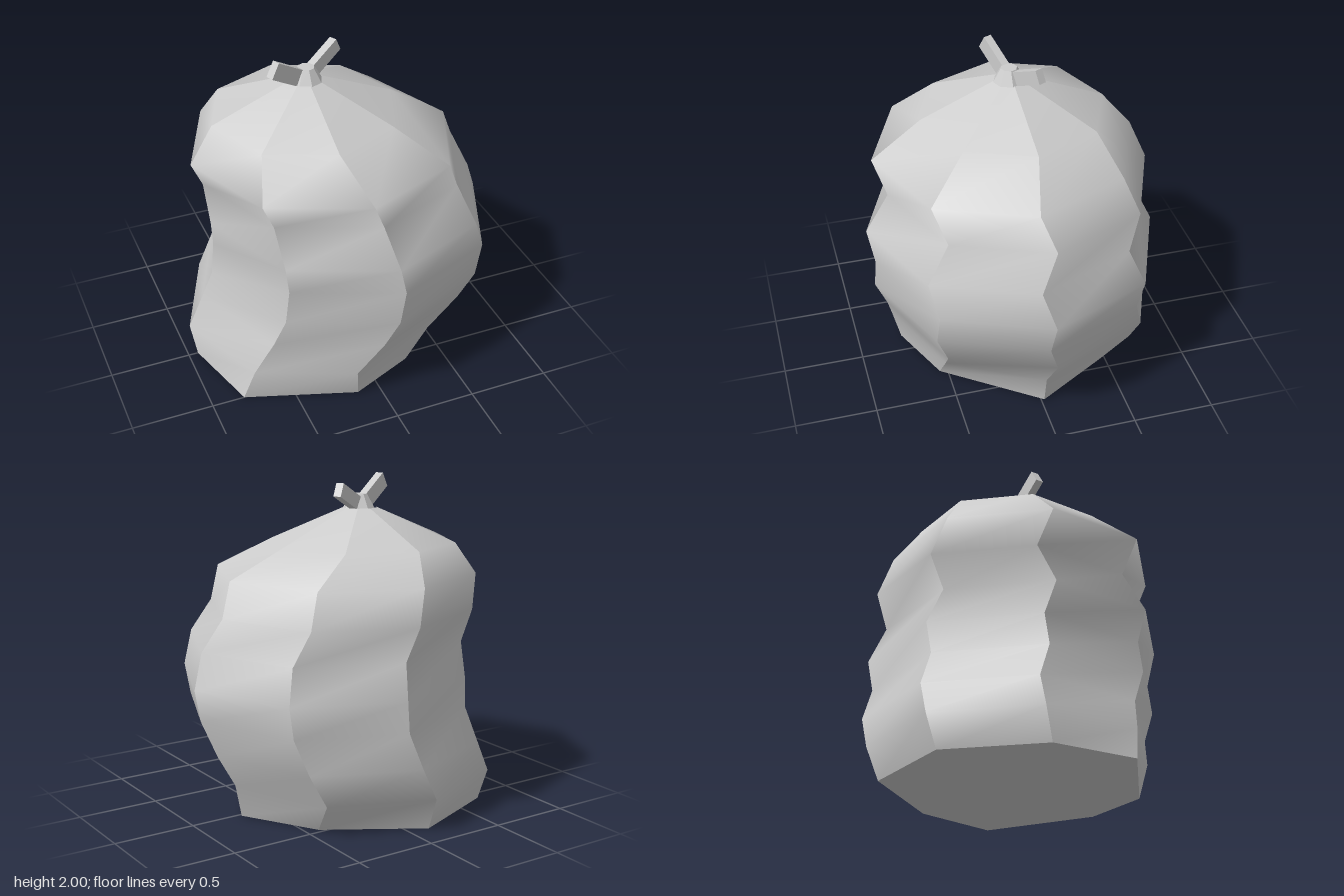
import * as THREE from 'three';

const SIDES = 8;

// Octagonal rings from bottom to top: y, centre x, centre z, radius
const RINGS = [
  [0, -0.13, 0, 0.81],
  [0.2, -0.125, -0.04, 0.845],
  [0.41, -0.01, -0.047, 0.86],
  [0.62, 0.05, 0.02, 0.87],
  [0.82, 0.087, 0, 0.88],
  [1.02, 0.032, 0.065, 0.85],
  [1.23, -0.01, -0.045, 0.81],
  [1.43, -0.1, 0.03, 0.805],
  [1.61, -0.18, -0.05, 0.565],
  [1.81, -0.175, -0.035, 0.1],
];

// Corners pushed out of the regular octagon near the ground: ring -> corner -> x, z
const DENTS = {
  0: { 0: [0.68, -0.02], 1: [0.26, 0.55], 2: [-0.14, 0.72], 3: [-0.8, 0.5], 7: [0.42, -0.47] },
  1: { 0: [0.72, -0.02], 1: [0.41, 0.54], 2: [-0.165, 0.77], 3: [-0.735, 0.53] },
};

function corner(ring, k) {
  k %= SIDES;
  const [y, cx, cz, r] = RINGS[ring];
  const a = (k / SIDES) * Math.PI * 2;
  const [x, z] = DENTS[ring]?.[k] ?? [cx + r * Math.cos(a), cz + r * Math.sin(a)];
  return [x, y, z];
}

function surface(points, index) {
  const g = new THREE.BufferGeometry();
  g.setAttribute('position', new THREE.Float32BufferAttribute(points.flat(), 3));
  g.setIndex(index);
  g.computeVertexNormals();
  return g;
}

// One upright panel, smooth along its height and sharp at its two sides
function panelGeometry(k) {
  const points = [];
  const index = [];
  for (let i = 0; i < RINGS.length; i++) {
    points.push(corner(i, k), corner(i, k + 1));
    if (i > 0) {
      const b = (i - 1) * 2;
      index.push(b, b + 2, b + 1, b + 1, b + 2, b + 3);
    }
  }
  return surface(points, index);
}

export function createModel() {
  const group = new THREE.Group();
  const material = new THREE.MeshStandardMaterial({ color: 0xcccccc });
  const flat = new THREE.MeshStandardMaterial({ color: 0xcccccc, flatShading: true });

  const add = (name, geometry, mat, parent = group) => {
    const mesh = new THREE.Mesh(geometry, mat);
    mesh.name = name;
    parent.add(mesh);
    return mesh;
  };

  // Sack body
  const body = new THREE.Group();
  body.name = 'sackBody';
  group.add(body);
  for (let k = 0; k < SIDES; k++) add('sackPanel', panelGeometry(k), material, body);

  // Flat underside
  const base = [];
  const fan = [];
  for (let k = 0; k < SIDES; k++) {
    base.push(corner(0, k));
    if (k > 1) fan.push(0, k - 1, k);
  }
  add('sackBase', surface(base, fan), flat, body);

  // Gathered neck
  const neck = add('neck', new THREE.CylinderGeometry(0.05, 0.1, 0.09, SIDES), flat);
  neck.position.set(-0.168, 1.845, -0.025);

  // Two tie ends sticking out of the neck
  const tieEnd = (name, from, to, height) => {
    const a = new THREE.Vector3(...from);
    const b = new THREE.Vector3(...to);
    const end = add(name, new THREE.BoxGeometry(0.05, height, a.distanceTo(b)), flat);
    end.position.copy(a).add(b).multiplyScalar(0.5);
    end.lookAt(b);
  };
  tieEnd('rightTieEnd', [-0.22, 1.84, -0.01], [-0.4, 1.957, 0.06], 0.1);
  tieEnd('leftTieEnd', [-0.12, 1.84, -0.06], [0.065, 1.938, -0.15], 0.085);

  return group;
}
